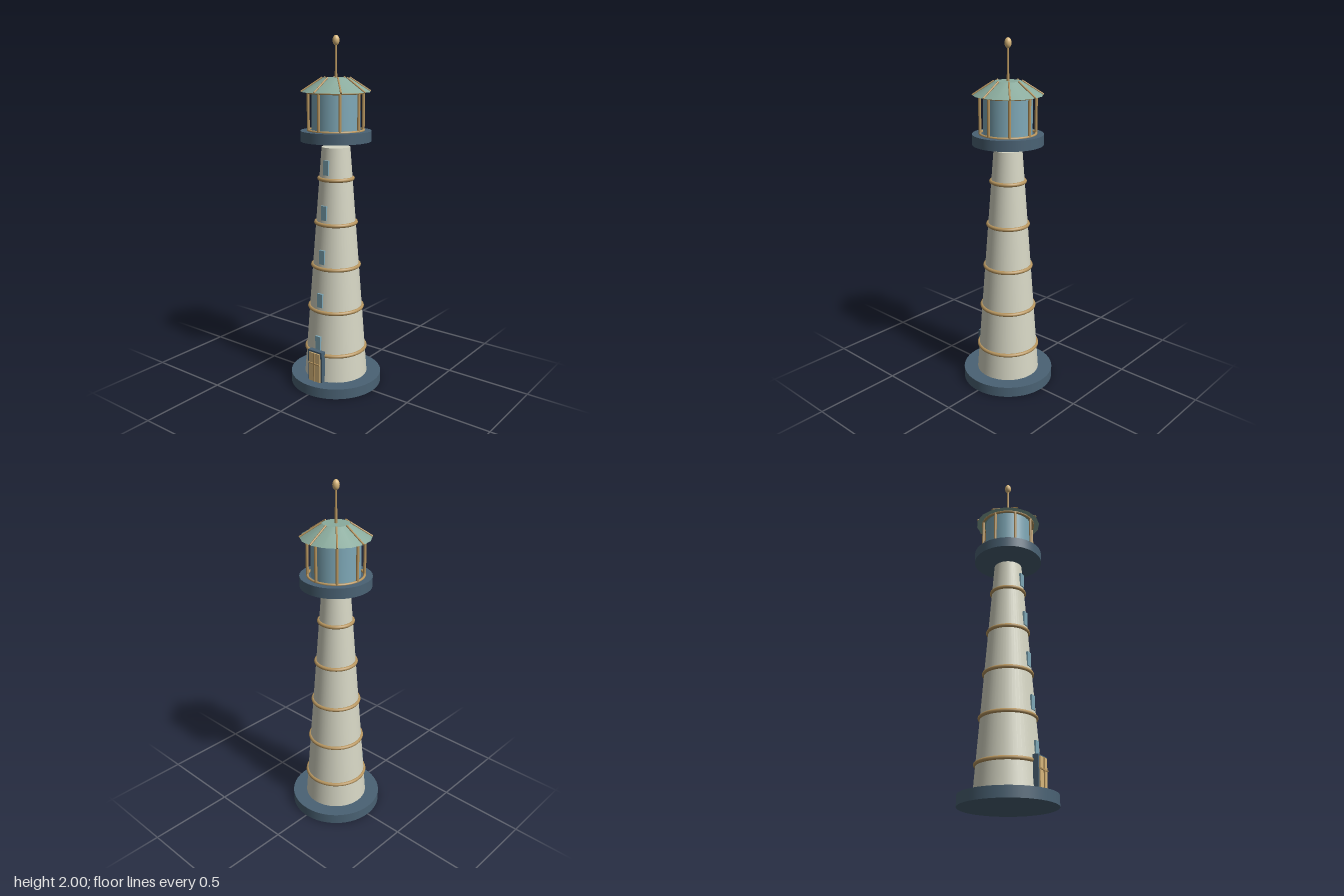
import * as THREE from 'three';

const mat = (color) => new THREE.MeshStandardMaterial({ color });

export function createModel() {
  const model = new THREE.Group();
  const slate = mat(0x4a6274), stone = mat(0xd6d6c4), brass = mat(0xb8965f);
  const glass = mat(0x7fa9b8), copper = mat(0x8aab9d), wood = mat(0xd9b87c);

  const add = (name, geometry, material, x = 0, y = 0, z = 0, parent = model) => {
    const mesh = new THREE.Mesh(geometry, material);
    mesh.name = name;
    mesh.position.set(x, y, z);
    parent.add(mesh);
    return mesh;
  };
  // Upright cylinder given by its bottom and top heights
  const drum = (name, rTop, rBottom, y0, y1, material, sides = 48) =>
    add(name, new THREE.CylinderGeometry(rTop, rBottom, y1 - y0, sides), material, 0, (y0 + y1) / 2);
  const ring = (name, radius, tube, y, material) => {
    const mesh = add(name, new THREE.TorusGeometry(radius, tube, 10, 48), material, 0, y);
    mesh.rotation.x = Math.PI / 2;
    return mesh;
  };
  // Round bar between two points
  const bar = (name, a, b, radius, material) => {
    const dir = b.clone().sub(a);
    const mesh = add(name, new THREE.CylinderGeometry(radius, radius, dir.length(), 8), material);
    mesh.position.copy(a).add(b).multiplyScalar(0.5);
    mesh.quaternion.setFromUnitVectors(new THREE.Vector3(0, 1, 0), dir.normalize());
    return mesh;
  };

  // Foundation and tapering tower
  drum('base', 0.265, 0.265, 0, 0.06, slate, 64);
  const towerRadius = (y) => THREE.MathUtils.mapLinear(y, 0.06, 1.4, 0.183, 0.08);
  drum('tower', 0.08, 0.183, 0.06, 1.4, stone);

  // Tower bands, each with a window above it
  for (let i = 0; i < 5; i++) {
    const y = 0.217 + i * 0.2515;
    ring('band', towerRadius(y) + 0.001, 0.011, y, brass);
    const wy = y + 0.068;
    add('window', new THREE.BoxGeometry(0.036, 0.082, 0.02), glass, 0, wy, towerRadius(wy) - 0.002);
  }

  // Door with frame and glazing-style bars
  const door = new THREE.Group();
  door.name = 'door';
  model.add(door);
  add('doorFrame', new THREE.BoxGeometry(0.1, 0.185, 0.03), slate, 0, 0.1525, 0.185, door);
  add('doorPanel', new THREE.BoxGeometry(0.078, 0.175, 0.014), wood, 0, 0.1475, 0.2, door);
  add('doorCrossbar', new THREE.BoxGeometry(0.078, 0.007, 0.006), brass, 0, 0.17, 0.21, door);
  add('doorUpright', new THREE.BoxGeometry(0.006, 0.175, 0.006), brass, 0, 0.1475, 0.21, door);

  // Gallery deck and lantern room
  drum('gallery', 0.197, 0.197, 1.432, 1.49, slate, 64);
  drum('lanternGlass', 0.135, 0.135, 1.49, 1.7, glass, 32);
  ring('lowerRail', 0.153, 0.007, 1.492, brass);
  ring('upperRail', 0.153, 0.007, 1.697, brass);

  // Roof with flat crown
  drum('roof', 0.073, 0.191, 1.7, 1.775, copper, 16);

  // Lantern posts and roof ribs, one of each every 45 degrees
  for (let i = 0; i < 8; i++) {
    const a = (i * Math.PI) / 4;
    const at = (r, y) => new THREE.Vector3(Math.sin(a) * r, y, Math.cos(a) * r);
    bar('lanternPost', at(0.153, 1.488), at(0.153, 1.705), 0.008, brass);
    bar('roofRib', at(0.192, 1.702), at(0.075, 1.777), 0.005, brass);
  }

  // Mast and finial
  drum('mast', 0.006, 0.007, 1.77, 1.96, brass, 12);
  add('finial', new THREE.SphereGeometry(0.019, 24, 16), wood, 0, 1.972, 0).scale.y = 28 / 19;

  return model;
}
